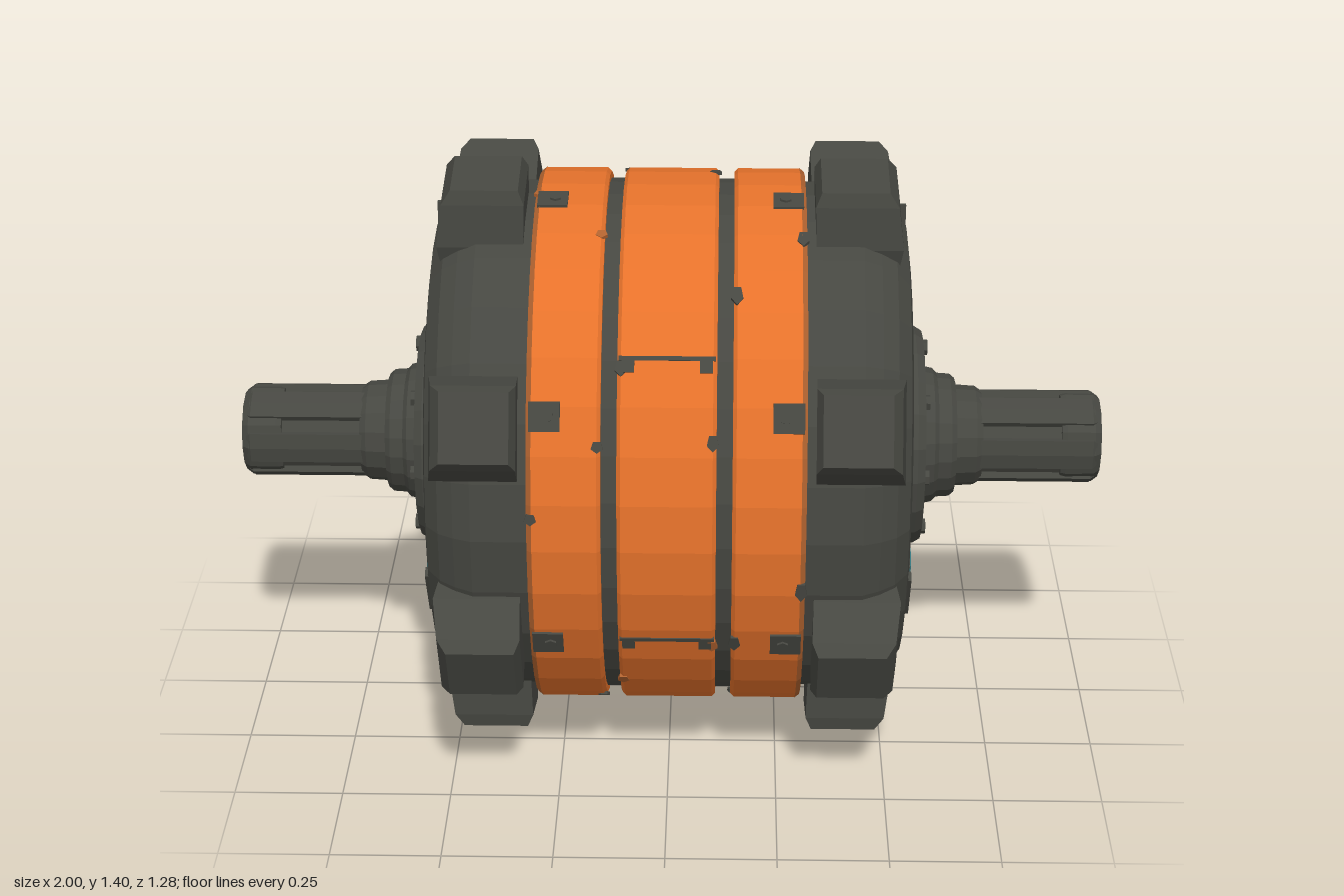
import * as THREE from 'three';

const mat = (name, color) => {
  const m = new THREE.MeshStandardMaterial({ color, flatShading: true });
  m.name = name;
  return m;
};
const CENTRE_Y = 0.703;
const FLAT = 0.965; // the drum is slightly narrower in z
const RIM_FLAT = 0.93; // the rims a little more so
const deg = THREE.MathUtils.degToRad;

export function createModel() {
  const dark = mat('dark iron', 0x464741);
  const orange = mat('orange paint', 0xe6722b);
  const worn = mat('worn orange', 0xb0622f);
  const teal = mat('teal light', 0x33737b);

  const add = (parent, name, geometry, material, x = 0, y = 0, z = 0) => {
    const mesh = new THREE.Mesh(geometry, material);
    mesh.name = name;
    mesh.position.set(x, y, z);
    parent.add(mesh);
    return mesh;
  };
  // Turned part around the x axis; profile is [radius, x]
  const turned = (profile, sides) =>
    new THREE.LatheGeometry(profile.map(([r, x]) => new THREE.Vector2(r, x)), sides).rotateZ(-Math.PI / 2);
  const rod = (r, length, sides) => new THREE.CylinderGeometry(r, r, length, sides).rotateZ(-Math.PI / 2);
  // Group turned about x, so that its +y points outward at the given angle from the top
  const spoke = (parent, name, angle) => {
    const g = new THREE.Group();
    g.name = name;
    g.rotation.x = deg(angle);
    parent.add(g);
    return g;
  };
  const scaled = (parent, name, z) => {
    const g = new THREE.Group();
    g.name = name;
    g.scale.z = z;
    parent.add(g);
    return g;
  };

  const model = new THREE.Group();
  model.name = 'drumMotor';
  const body = new THREE.Group();
  body.name = 'body';
  body.position.y = CENTRE_Y;
  model.add(body);

  // Drum core and painted bands
  const drum = scaled(body, 'drum', FLAT);
  add(drum, 'drumCore', rod(0.6, 0.58, 36), dark);
  for (const [x0, x1] of [[-0.302, -0.143], [-0.108, 0.108], [0.143, 0.302]]) {
    add(drum, 'paintedBand', turned([
      [0.59, x0], [0.616, x0], [0.624, x0 + 0.008], [0.624, x1 - 0.008], [0.616, x1], [0.59, x1],
    ], 36), orange);
  }
  // Plate seams across the middle band
  for (const a of [50, 113, 180, -113, -50]) {
    const s = spoke(drum, 'bandSeam', a);
    add(s, 'seamLine', new THREE.BoxGeometry(0.21, 0.008, 0.01), dark, 0, 0.621, 0);
    for (const x of [-0.085, 0.085]) add(s, 'seamWear', new THREE.BoxGeometry(0.028, 0.008, 0.028), dark, x, 0.621, 0.018);
  }
  // Worn spots where paint is thin or missing along the band edges
  const edges = [-0.15, 0.1, 0.15, -0.295, -0.1, 0.295];
  for (let k = 0; k < 30; k++) {
    const spot = add(spoke(drum, 'wornSpot', k * 47 + 20), 'wornPatch',
      new THREE.CylinderGeometry(0.014, 0.014, 0.008, 5), k % 5 ? dark : worn, edges[k % 6], 0.621, 0);
    spot.scale.z = 1 + (k % 3) * 0.4;
  }

  // Tooth: a box whose levels follow [radius, half width, inner x, outer x]
  const levels = [[0.46, 0.1, 0.33, 0.5], [0.575, 0.115, 0.325, 0.518], [0.67, 0.092, 0.322, 0.506], [0.7, 0.078, 0.335, 0.485]];
  const toothGeometry = new THREE.BoxGeometry(1, 1, 1, 1, 3, 1);
  const p = toothGeometry.attributes.position;
  for (let i = 0; i < p.count; i++) {
    const [r, w, x0, x1] = levels[Math.round((p.getY(i) + 0.5) * 3)];
    p.setXYZ(i, p.getX(i) > 0 ? x1 : x0, r, Math.sign(p.getZ(i)) * w);
  }
  toothGeometry.computeVertexNormals();

  // Splined hollow shaft profile
  const profile = [];
  for (let k = 0; k < 6; k++) {
    for (const [a, r] of [[-12, 0.088], [12, 0.088], [14, 0.1], [30, 0.1], [46, 0.1]]) {
      const t = deg(90 + k * 60 + a);
      profile.push(new THREE.Vector2(Math.cos(t) * r, Math.sin(t) * r));
    }
  }
  const shaftShape = new THREE.Shape(profile);
  const bore = new THREE.Path();
  bore.absarc(0, 0, 0.072, 0, Math.PI * 2, true);
  shaftShape.holes.push(bore);
  const shaftGeometry = new THREE.ExtrudeGeometry(shaftShape, {
    depth: 0.32, bevelEnabled: true, bevelSize: 0.008, bevelThickness: 0.01, bevelSegments: 1, curveSegments: 4,
  }).rotateY(Math.PI / 2);

  // Curved rib lying in the end recess
  const ribGeometry = (r0, r1, from, to) => {
    const s = new THREE.Shape();
    s.absarc(0, 0, r1, deg(from), deg(to), false);
    s.absarc(0, 0, r0, deg(to), deg(from), true);
    return new THREE.ExtrudeGeometry(s, { depth: 0.035, bevelEnabled: false, curveSegments: 7 }).rotateY(Math.PI / 2);
  };

  // Both ends: built facing +x, the other turned round with its angles mirrored
  for (const side of [1, -1]) {
    const end = new THREE.Group();
    end.name = side > 0 ? 'leftEnd' : 'rightEnd';
    end.rotation.y = side > 0 ? 0 : Math.PI;
    body.add(end);

    // Rim with a ridged recess
    const rim = scaled(end, 'rimGroup', RIM_FLAT);
    add(rim, 'rim', turned([
      [0.5, 0.285], [0.6, 0.29], [0.6, 0.43], [0.583, 0.47], [0.56, 0.505], [0.52, 0.535], [0.465, 0.542],
      [0.448, 0.53], [0.435, 0.48], [0.41, 0.475], [0.4, 0.495], [0.38, 0.495], [0.37, 0.465],
      [0.32, 0.465], [0.31, 0.49], [0.29, 0.49], [0.28, 0.47], [0.24, 0.47],
    ], 28), dark);
    // Small ridges at the top and bottom of the rim
    for (const a of [0, 180]) {
      add(spoke(rim, 'rimJoint', a), 'jointRidge', new THREE.BoxGeometry(0.02, 0.1, 0.012), dark, 0.522, 0.53, 0);
    }

    // Teeth, and clips holding the outer band with its scuffed edge
    const wheel = scaled(end, 'wheel', FLAT);
    add(wheel, 'bandEdge', turned([[0.6255, 0.293], [0.617, 0.304], [0.54, 0.304]], 36), worn);
    for (const a of [9.5, -38, -64.5, -116, -163, 163, 116, 64.5]) {
      add(spoke(wheel, 'toothMount', a * side), 'tooth', toothGeometry, dark);
    }
    for (const a of [8, -62, -114, -161, 161, 114, 62]) {
      const c = spoke(wheel, 'bandClip', a * side);
      add(c, 'clipPlate', new THREE.BoxGeometry(0.068, 0.022, 0.066), dark, 0.264, 0.617, 0);
      add(c, 'clipBolt', new THREE.CylinderGeometry(0.014, 0.014, 0.006, 6), dark, 0.258, 0.63, 0);
    }

    // Recess ribs between the brackets
    for (const k of [0, 1, 2]) {
      for (const [r0, r1, x] of [[0.325, 0.345, 0.47], [0.355, 0.372, 0.48], [0.405, 0.418, 0.485]]) {
        const rib = add(end, 'recessRib', ribGeometry(r0, r1, 112, 188), dark, x);
        rib.rotation.x = deg(k * 120);
      }
    }

    // Three brackets with teal lamps: [angle, bracket width, lamp radius, lamp height, face x]
    for (const [a, w, r, y, x] of [[0, 0.21, 0.048, 0.364, 0.53], [120, 0.16, 0.04, 0.352, 0.548], [-120, 0.16, 0.04, 0.352, 0.548]]) {
      const b = spoke(end, 'lampBracket', a);
      add(b, 'bracketPlate', new THREE.BoxGeometry(0.07, 0.2, w), dark, x - 0.042, 0.345, 0);
      add(b, 'bracketRidge', new THREE.BoxGeometry(0.03, 0.025, w * 0.9), dark, x - 0.015, 0.434, 0);
      add(b, 'lampCollar', rod(r + 0.009, 0.012, 8), dark, x - 0.006, y, 0);
      add(b, 'lamp', rod(r, 0.008, 8), teal, x - 0.001, y, 0);
    }
    // Upright slot lamp at the bottom
    const slot = spoke(end, 'slotLamp', 180);
    add(slot, 'slotFrame', new THREE.BoxGeometry(0.07, 0.15, 0.064), dark, 0.502, 0.356, 0);
    add(slot, 'slotGlass', new THREE.BoxGeometry(0.009, 0.112, 0.042), teal, 0.54, 0.356, 0);

    // Stepped hub
    add(end, 'hub', turned([
      [0.262, 0.46], [0.257, 0.565], [0.246, 0.583], [0.2, 0.583], [0.19, 0.578], [0.165, 0.578],
      [0.158, 0.61], [0.147, 0.62], [0.145, 0.65], [0.135, 0.662], [0.08, 0.662],
    ], 20), dark);
    for (let k = 0; k < 8; k++) {
      add(spoke(end, 'hubBolt', k * 45), 'boltHead', rod(0.018, 0.02, 6), dark, 0.583, 0.225, 0);
    }

    // Shaft with its root, end ring and bore floor
    add(end, 'shaftRoot', turned([[0.12, 0.65], [0.116, 0.71], [0.106, 0.725], [0.08, 0.725]], 16), dark);
    add(end, 'shaft', shaftGeometry, dark, 0.66);
    add(end, 'shaftRing', turned([
      [0.08, 0.905], [0.104, 0.908], [0.107, 0.92], [0.106, 0.985], [0.095, 1], [0.073, 1], [0.068, 0.94],
    ], 12), dark);
    add(end, 'boreFloor', rod(0.078, 0.02, 12), dark, 0.93);
  }
  return model;
}
